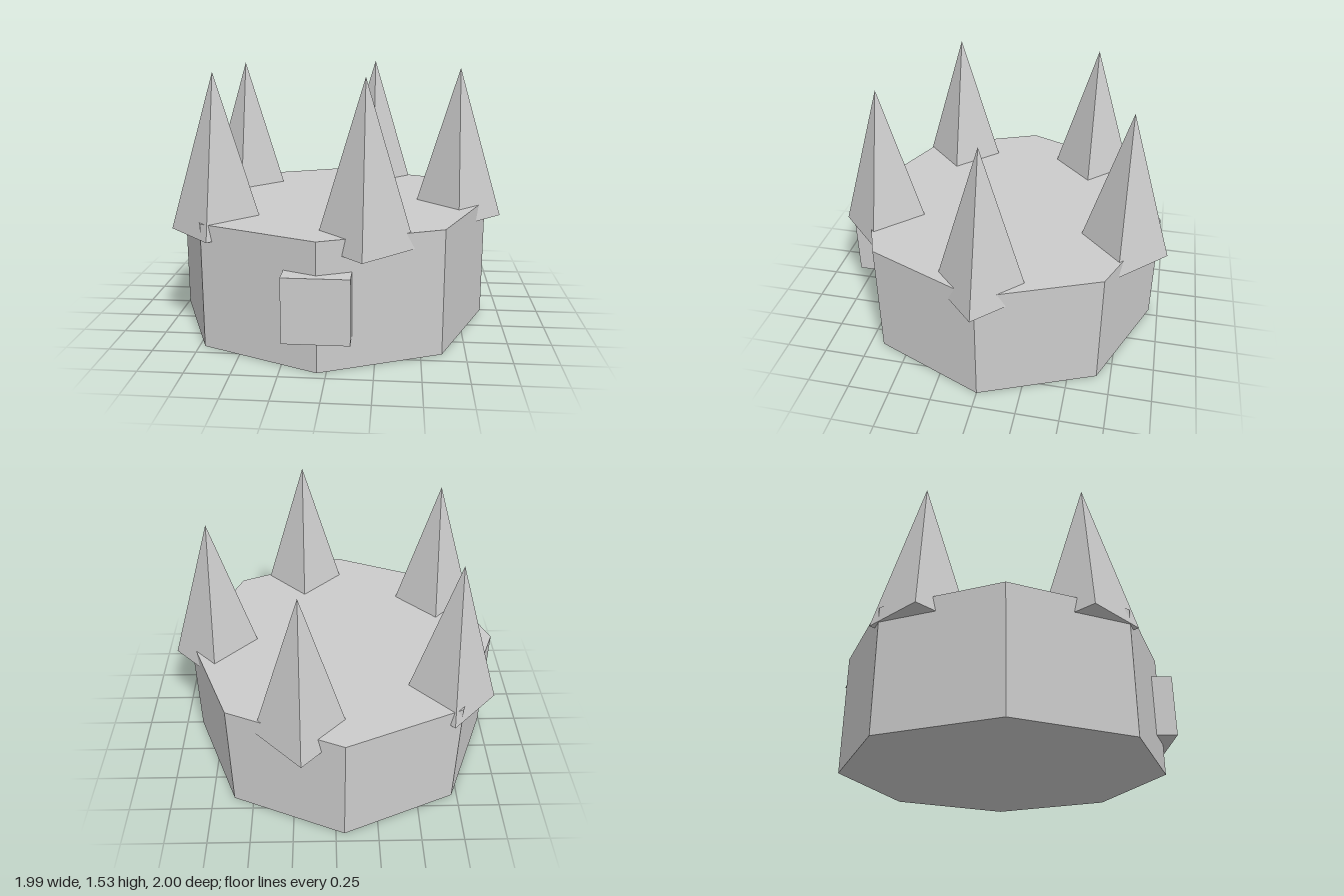
import * as THREE from 'three';

export function createModel() {
  const group = new THREE.Group();
  const material = new THREE.MeshStandardMaterial({ color: 0xcccccc, flatShading: true });
  const centreX = -0.05;

  function add(name, geometry, x, y, z) {
    const mesh = new THREE.Mesh(geometry, material);
    mesh.name = name;
    mesh.position.set(x, y, z);
    group.add(mesh);
  }

  // Octagonal crown band, closed top and bottom
  add('band', new THREE.CylinderGeometry(0.945, 0.945, 0.72, 8), centreX, 0.36, 0);

  // Five four-sided spikes evenly spaced around the rim, sunk slightly into the band
  const spike = new THREE.ConeGeometry(0.27, 0.9, 4);
  for (let i = 0; i < 5; i++) {
    const a = (i / 5) * Math.PI * 2;
    add('spike' + (i + 1), spike, centreX + 0.77 * Math.cos(a), 1.08, 0.77 * Math.sin(a));
  }

  // Square gem set in the front corner
  add('gem', new THREE.BoxGeometry(0.36, 0.36, 0.18), centreX, 0.36, 0.9);

  return group;
}
